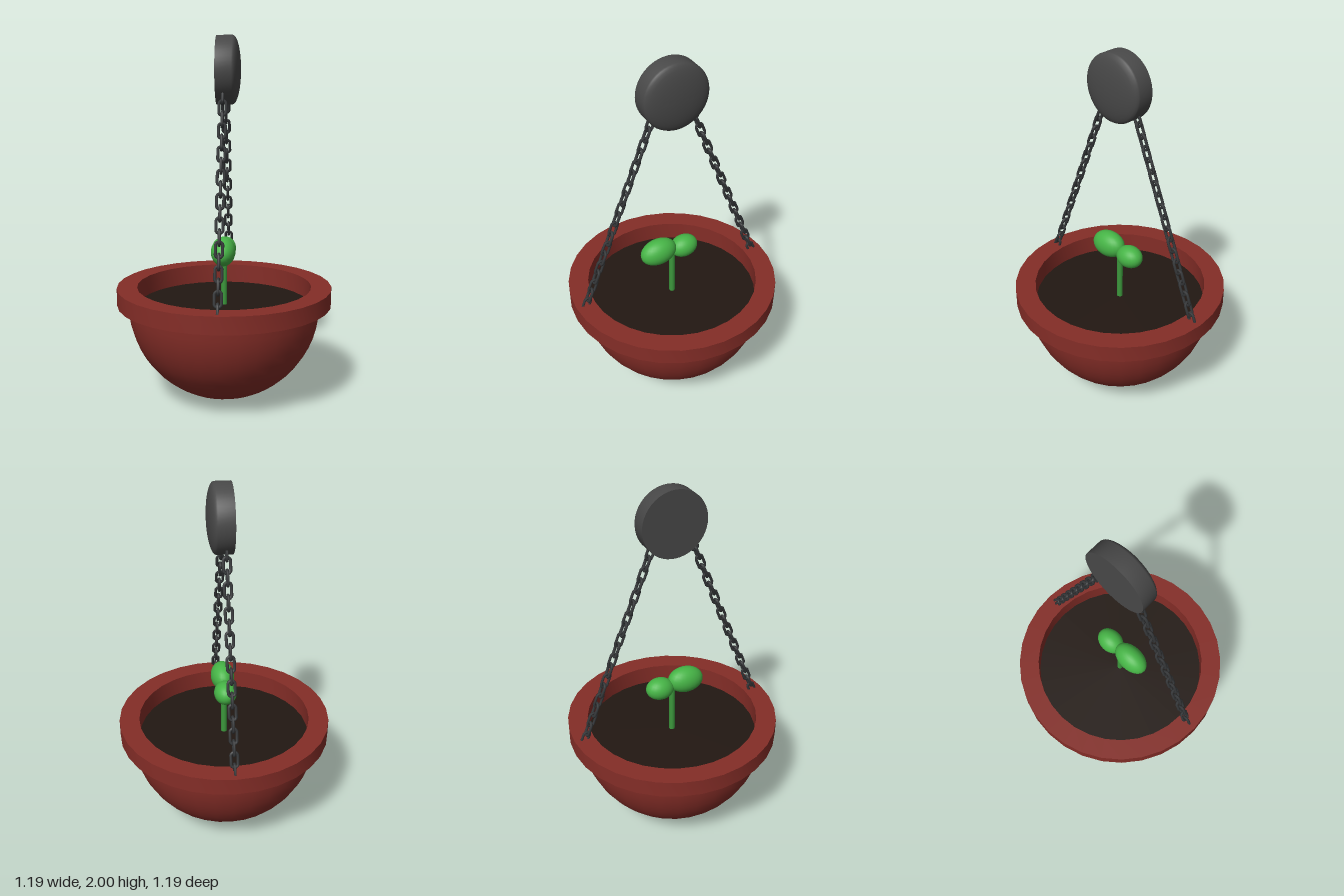
import * as THREE from 'three';
import { toCreasedNormals } from 'three/addons/utils/BufferGeometryUtils.js';

const paint = (color) => new THREE.MeshStandardMaterial({ color });

const terracotta = paint(0x842d27);
const soilBrown = paint(0x221812);
const darkMetal = paint(0x484848);
const chainMetal = paint(0x343638);
const leafGreen = paint(0x46b446);
const stemGreen = paint(0x3c983c);

function part(parent, name, geometry, material) {
  const mesh = new THREE.Mesh(geometry, material);
  mesh.name = name;
  parent.add(mesh);
  return mesh;
}

// Turned shape from [radius, height] pairs, keeping sharp corners sharp
function turned(pairs, segments = 32) {
  const points = pairs.map(([r, y]) => new THREE.Vector2(r, y));
  return toCreasedNormals(new THREE.LatheGeometry(points, segments), 0.6);
}

// Quarter ellipse of [radius, height] pairs
function quarterArc(steps, from, to, rx, ry, cy) {
  return Array.from({ length: steps + 1 }, (_, i) => {
    const a = from + ((to - from) * i) / steps;
    return [Math.max(0, rx * Math.cos(a)), cy + ry * Math.sin(a)];
  });
}

// Oval chain link: a ring split at the middle and pulled apart along y
function linkGeometry() {
  const g = new THREE.TorusGeometry(0.0185, 0.008, 6, 16);
  g.rotateZ(Math.PI / 16);
  const p = g.attributes.position;
  for (let i = 0; i < p.count; i++) p.setY(i, p.getY(i) + Math.sign(p.getY(i)) * 0.022);
  return g;
}

export function createModel() {
  const model = new THREE.Group();
  model.name = 'hangingPlanter';

  // Pot: round bowl, square rim and soil
  part(model, 'bowl', turned(quarterArc(14, -Math.PI / 2, 0, 0.535, 0.545, 0.545)), terracotta);
  part(model, 'rim', turned([
    [0.5, 0.54], [0.597, 0.54], [0.597, 0.635], [0.485, 0.635], [0.485, 0.5],
  ]), terracotta);
  const soil = part(model, 'soil', new THREE.CircleGeometry(0.49, 32), soilBrown);
  soil.rotation.x = -Math.PI / 2;
  soil.position.y = 0.525;

  // Sprout: stem and two plump leaves
  const sprout = new THREE.Group();
  sprout.name = 'sprout';
  model.add(sprout);
  part(sprout, 'stem', new THREE.CylinderGeometry(0.017, 0.017, 0.33, 12), stemGreen).position.y = 0.68;
  const leaves = [
    ['largeLeaf', 0.845, 0.085, [0.067, 0.077, 0.107]],
    ['smallLeaf', 0.83, -0.075, [0.063, 0.064, 0.082]],
  ];
  for (const [name, y, z, size] of leaves) {
    const leaf = part(sprout, name, new THREE.SphereGeometry(1, 24, 16), leafGreen);
    leaf.scale.set(...size);
    leaf.position.set(0, y, z);
    leaf.rotation.x = 0.12;
  }

  // Wall disc: flat back, domed face towards +x
  const disc = part(model, 'wallDisc', turned([
    [0, -0.04], [0.182, -0.04], ...quarterArc(8, 0, Math.PI / 2, 0.182, 0.044, 0.046),
  ], 48), darkMetal);
  disc.rotation.z = -Math.PI / 2;
  disc.position.y = 1.818;

  // Two chains rising from the rim to the disc, links alternately turned
  const link = linkGeometry();
  const links = 19;
  const rise = 1.04, run = 0.415;
  const pitch = Math.hypot(rise, run) / (links - 1);
  for (const side of [1, -1]) {
    const chain = new THREE.Group();
    chain.name = side > 0 ? 'frontChain' : 'backChain';
    chain.position.set(0, 0.64, side * 0.535);
    chain.rotation.x = -side * Math.atan2(run, rise);
    model.add(chain);
    for (let i = 0; i < links; i++) {
      const mesh = part(chain, 'chainLink', link, chainMetal);
      mesh.position.y = i * pitch;
      mesh.rotation.y = i % 2 ? 0 : Math.PI / 2;
    }
  }

  return model;
}
